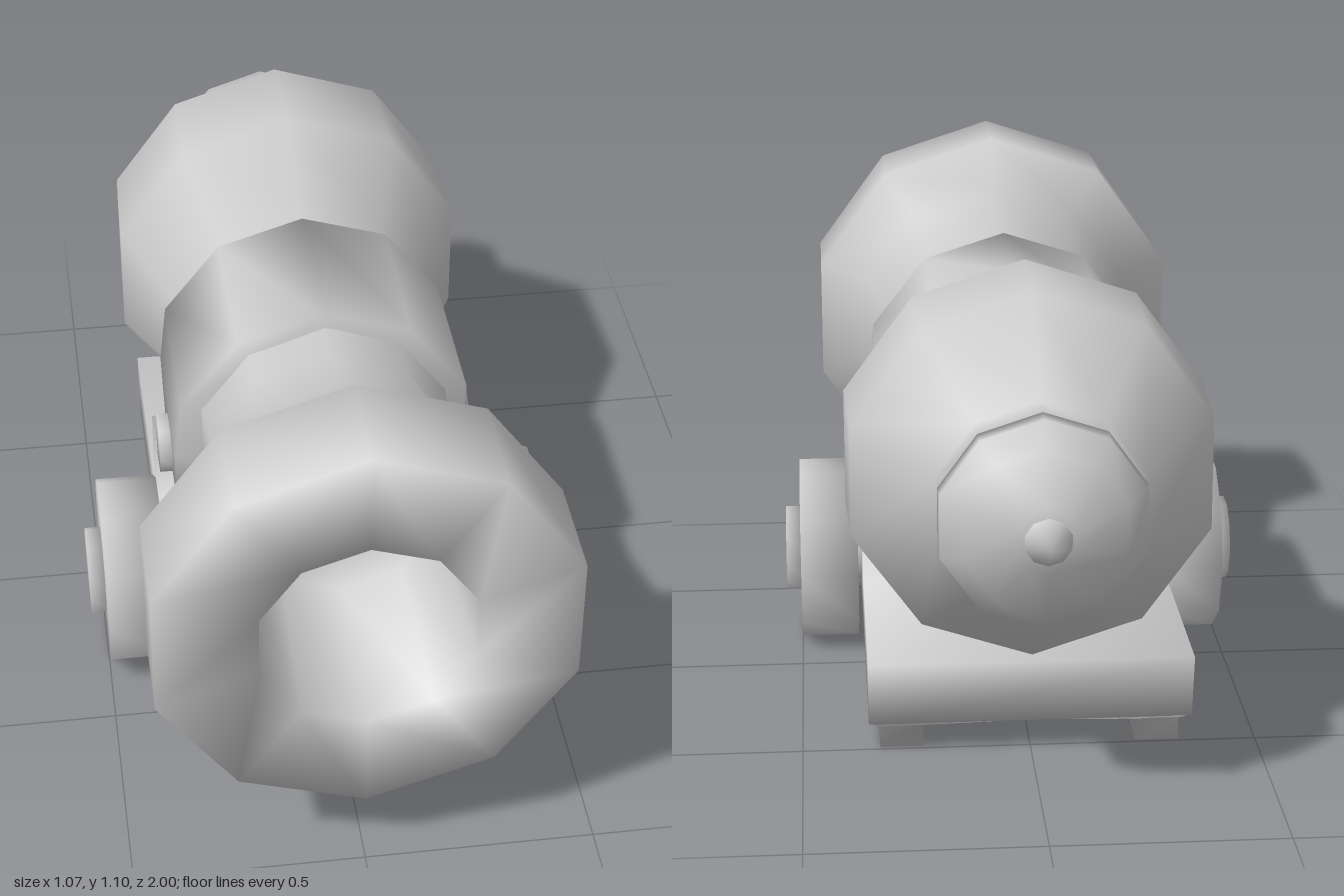
import * as THREE from 'three';
import { mergeVertices } from 'three/addons/utils/BufferGeometryUtils.js';

const material = new THREE.MeshStandardMaterial({ color: 0xcccccc });
const AXIS_Y = 0.64; // height of the barrel axis

// Weld corners so the low-poly surfaces shade softly
function soften(geometry) {
  geometry.deleteAttribute('normal');
  geometry.deleteAttribute('uv');
  const welded = mergeVertices(geometry, 1e-4);
  welded.computeVertexNormals();
  return welded;
}

function part(name, geometry, parent) {
  const mesh = new THREE.Mesh(soften(geometry), material);
  mesh.name = name;
  parent.add(mesh);
  return mesh;
}

// Ten-sided turned part along z; profile is [z, radius] from back to front
function turned(profile) {
  const points = profile.map(([z, r]) => new THREE.Vector2(r, z));
  return new THREE.LatheGeometry(points, 10).rotateX(Math.PI / 2).translate(0, AXIS_Y, 0);
}

// Disc whose axis lies along x, from x0 to x1
function disc(x0, x1, radius, y, z, sides) {
  return new THREE.CylinderGeometry(radius, radius, x1 - x0, sides)
    .rotateZ(-Math.PI / 2)
    .translate((x0 + x1) / 2, y, z);
}

function moveVertices(geometry, rule) {
  const p = geometry.attributes.position;
  const v = new THREE.Vector3();
  for (let i = 0; i < p.count; i++) {
    rule(v.fromBufferAttribute(p, i));
    p.setXYZ(i, v.x, v.y, v.z);
  }
  return geometry;
}

export function createModel() {
  const cannon = new THREE.Group();
  cannon.name = 'cannon';

  // Barrel with swollen breech, muzzle ring and open bore
  part('barrel', turned([
    [-0.8, 0], [-0.8, 0.215], [-0.75, 0.23], [-0.55, 0.405], [-0.31, 0.415],
    [-0.09, 0.315], [0.42, 0.275], [0.74, 0.34], [0.76, 0.46], [1, 0.46],
    [1, 0.235], [0.6, 0.22], [0.6, 0],
  ]), cannon);

  // Rear cap and its pointed tip
  part('rearCap', turned([
    [-0.95, 0], [-0.95, 0.07], [-0.9, 0.175], [-0.85, 0.222], [-0.81, 0.225], [-0.81, 0],
  ]), cannon);
  part('tip', turned([[-1, 0], [-0.955, 0.05], [-0.93, 0.04], [-0.93, 0]]), cannon);

  // Arched collar whose legs taper towards the bottom
  const half = [[0.325, 0.4], [0.33, 0.6], [0.315, 0.74], [0.19, 0.9]];
  const arch = new THREE.Shape([
    ...half, [0, 0.96], ...half.map(([x, y]) => [-x, y]).reverse(),
  ].map(([x, y]) => new THREE.Vector2(x, y)));
  const collar = new THREE.ExtrudeGeometry(arch, { depth: 0.37, bevelEnabled: false });
  collar.translate(0, 0, -0.04);
  moveVertices(collar, (v) => {
    if (v.y < 0.5) v.z = 0.145 + (v.z - 0.145) * 0.6;
  });
  part('collar', collar, cannon);

  // Carriage: tall front block stepping down to a flat bed
  const side = new THREE.Shape([
    [0.33, 0.07], [0.33, 0.43], [-0.045, 0.43], [-0.05, 0.22], [-0.555, 0.22], [-0.525, 0.07],
  ].map(([z, y]) => new THREE.Vector2(-z, y)));
  const carriage = new THREE.ExtrudeGeometry(side, { depth: 0.71, bevelEnabled: false });
  carriage.translate(0, 0, -0.355).rotateY(Math.PI / 2);
  part('carriage', carriage, cannon);

  for (const [label, s] of [['left', 1], ['right', -1]]) {
    const group = new THREE.Group();
    group.name = label + 'Side';
    cannon.add(group);
    const span = (a, b) => (s > 0 ? [a, b] : [-b, -a]);

    part('wheel', disc(...span(0.365, 0.5), 0.214, 0.21, 0.23, 10), group);
    part('hub', disc(...span(0.49, 0.535), 0.1, 0.21, 0.23, 10), group);
    part('axle', disc(...span(0.3, 0.38), 0.08, 0.21, 0.23, 10), group);
    part('trunnionBolt', disc(...span(0.3, 0.355), 0.067, 0.5, 0.145, 6), group);

    // Rear foot flaring into the bed underside
    const foot = new THREE.BoxGeometry(0.095, 0.1, 0.16, 1, 2, 1);
    foot.translate(s * 0.2825, 0.05, -0.41);
    moveVertices(foot, (v) => {
      if (v.y > 0.09) {
        v.x = Math.abs(v.x) > 0.28 ? s * 0.354 : 0;
        v.y = 0.072;
        v.z = v.z > -0.41 ? -0.3 : -0.525;
      }
    });
    part('rearFoot', foot, group);
  }

  return cannon;
}
